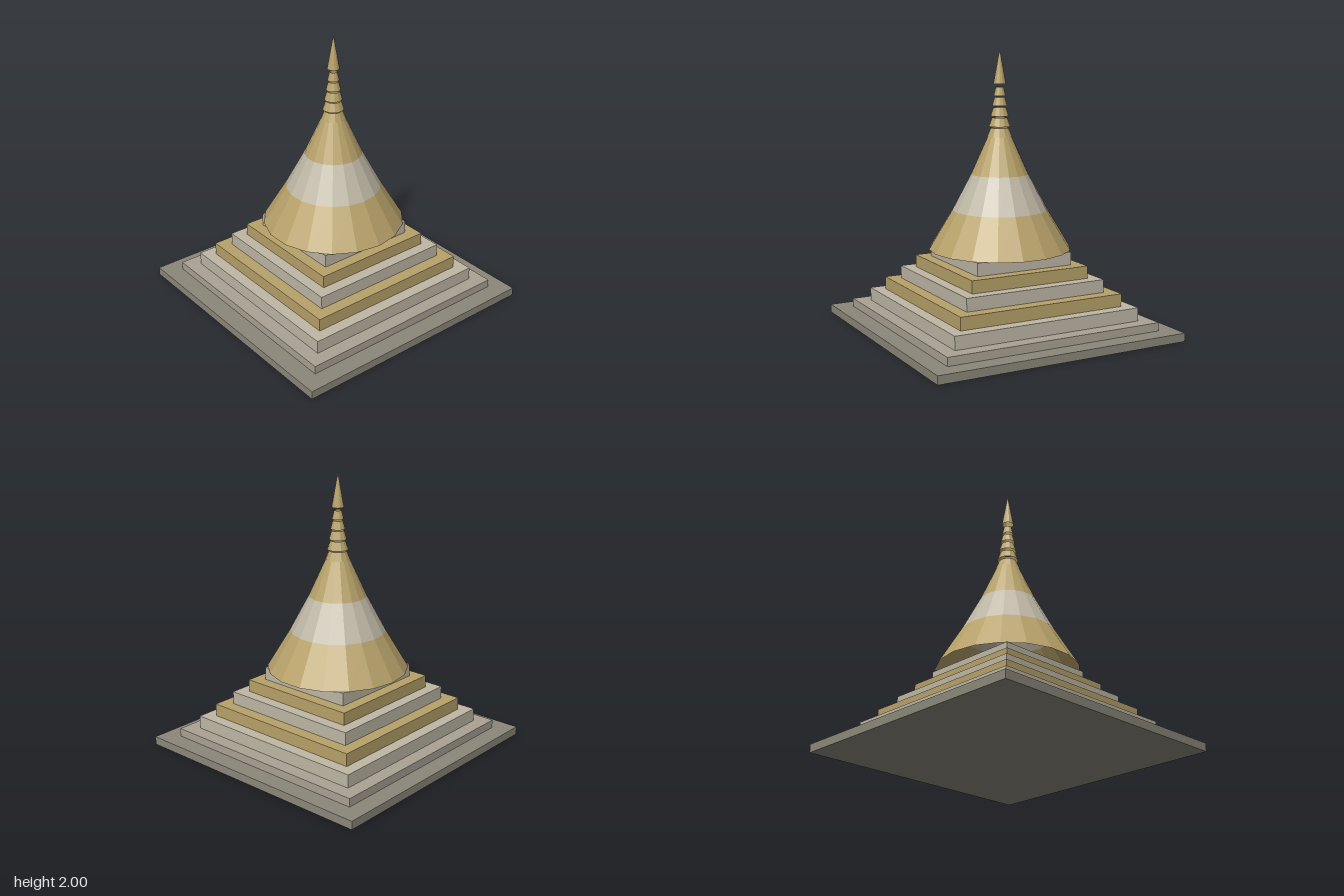
import * as THREE from 'three';

const material = (color, side = THREE.FrontSide) =>
  new THREE.MeshStandardMaterial({ color, side, flatShading: true });

const GOLD = 0xb8a26a, PALE = 0xbfb8a6, STONE = 0xaba294, DARK = 0x8c887a;

export function createModel() {
  const model = new THREE.Group();

  // Square stepped terraces: [half width, bottom, top, color]
  const terraces = [
    [0.945, 0, 0.06, DARK],
    [0.815, 0.06, 0.12, STONE],
    [0.713, 0.12, 0.215, PALE],
    [0.628, 0.215, 0.307, GOLD],
    [0.538, 0.307, 0.4, PALE],
    [0.455, 0.4, 0.49, GOLD],
    [0.37, 0.49, 0.583, PALE],
  ];
  terraces.forEach(([half, bottom, top, color], i) => {
    const step = new THREE.Mesh(new THREE.BoxGeometry(2 * half, top - bottom, 2 * half), material(color));
    step.position.y = (bottom + top) / 2;
    step.name = i === 0 ? 'plinth' : `terrace${i}`;
    model.add(step);
  });

  // Open cone section with a corner on the x axis
  const section = (name, sides, rBottom, rTop, bottom, top, color) => {
    const geometry = new THREE.CylinderGeometry(rTop, rBottom, top - bottom, sides, 1, true);
    const mesh = new THREE.Mesh(geometry, material(color, THREE.DoubleSide));
    mesh.rotation.y = Math.PI / 2;
    mesh.position.y = (bottom + top) / 2;
    mesh.name = name;
    model.add(mesh);
  };

  // Hollow bell, banded in gold and stone
  section('bellSkirt', 18, 0.508, 0.34, 0.585, 0.865, GOLD);
  section('bellBand', 18, 0.34, 0.205, 0.865, 1.12, PALE);
  section('bellNeck', 18, 0.205, 0.083, 1.12, 1.39, GOLD);

  // Separate tapering spire rings: [bottom radius, top radius, bottom, top]
  const rings = [
    [0.088, 0.063, 1.385, 1.447],
    [0.076, 0.053, 1.457, 1.52],
    [0.064, 0.045, 1.53, 1.592],
    [0.053, 0.036, 1.603, 1.663],
    [0.042, 0.027, 1.673, 1.735],
  ];
  rings.forEach(([rBottom, rTop, bottom, top], i) =>
    section(`spireRing${i + 1}`, 12, rBottom, rTop, bottom, top, GOLD));

  // Pointed finial
  section('finial', 12, 0.044, 0, 1.757, 2, GOLD);

  return model;
}
